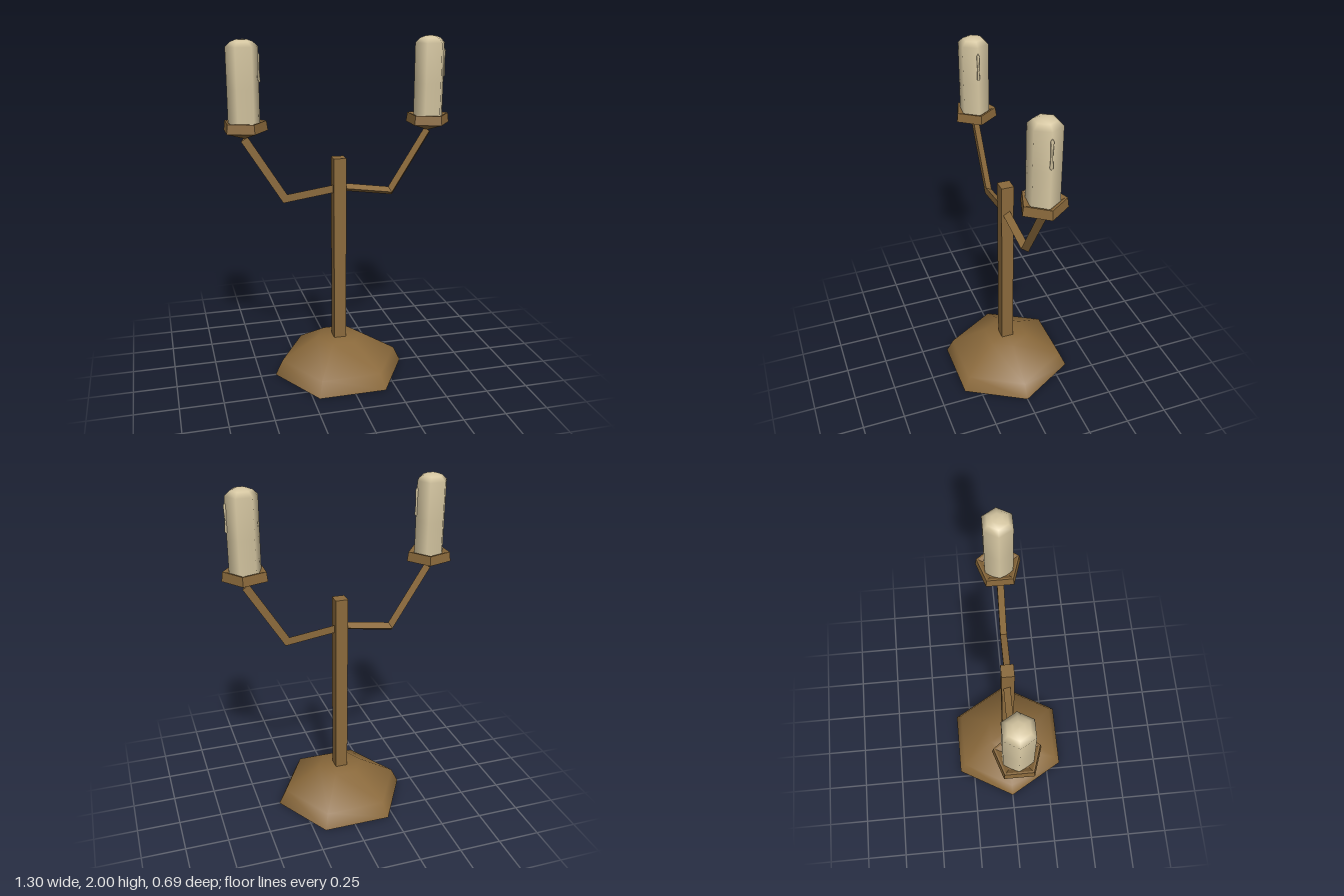
import * as THREE from 'three';

const brass = new THREE.MeshStandardMaterial({ color: 0x8a693b });
brass.name = 'aged brass';
const wax = new THREE.MeshStandardMaterial({ color: 0xd6c7a2 });
wax.name = 'cream wax';

const AXIS = -0.015; // x of the post

function mesh(name, geometry, material, x = 0, y = 0, z = 0) {
  const m = new THREE.Mesh(geometry, material);
  m.name = name;
  m.position.set(x, y, z);
  return m;
}

// Turned profile with few sides and one corner towards +x
function turned(profile, sides) {
  const points = profile.map(([r, y]) => new THREE.Vector2(r, y));
  return new THREE.LatheGeometry(points, sides, Math.PI / 2);
}

function flat(geometry) {
  const g = geometry.index ? geometry.toNonIndexed() : geometry;
  g.computeVertexNormals();
  return g;
}

// Triangular bar swept along a bent path in the xy plane, mitred at the bend
function armGeometry() {
  const path = [[0, 1.155], [0.315, 1.11], [0.535, 1.463]].map(([x, y]) => new THREE.Vector2(x, y));
  const dirs = [0, 1].map(i => path[i + 1].clone().sub(path[i]).normalize());
  const r = 0.026;
  const positions = [];
  path.forEach((p, i) => {
    const a = dirs[Math.max(i - 1, 0)], b = dirs[Math.min(i, 1)];
    const t = a.clone().add(b).normalize();
    const stretch = 1 / t.dot(a);
    for (let k = 0; k < 3; k++) {
      const angle = k * Math.PI * 2 / 3;
      const s = Math.sin(angle) * r * stretch;
      positions.push(p.x - t.y * s, p.y + t.x * s, Math.cos(angle) * r);
    }
  });
  const index = [];
  for (let i = 0; i < 2; i++) {
    for (let k = 0; k < 3; k++) {
      const a = i * 3 + k, b = i * 3 + (k + 1) % 3;
      index.push(a, a + 3, b, b, a + 3, b + 3);
    }
  }
  index.push(0, 1, 2, 6, 8, 7);
  const g = new THREE.BufferGeometry();
  g.setAttribute('position', new THREE.Float32BufferAttribute(positions, 3));
  g.setIndex(index);
  // Point the faces outwards whichever way the section winds
  const test = flat(g);
  const n = test.attributes.normal, p = test.attributes.position;
  if (n.getZ(0) * (p.getZ(0) + p.getZ(1) + p.getZ(2)) < 0) {
    for (let i = 0; i < index.length; i += 3) [index[i], index[i + 1]] = [index[i + 1], index[i]];
    g.setIndex(index);
  }
  return flat(g);
}

export function createModel() {
  const model = new THREE.Group();
  model.name = 'candelabra';

  // Domed six-sided foot
  const base = new THREE.Group();
  base.name = 'base';
  base.position.x = AXIS;
  base.add(mesh('baseDome', turned([[0.396, 0], [0.352, 0.09], [0.135, 0.22], [0, 0.221]], 6), brass));
  const underside = mesh('baseUnderside', new THREE.CircleGeometry(0.396, 6), brass);
  underside.rotation.x = Math.PI / 2;
  base.add(underside);
  model.add(base);

  // Square post
  model.add(mesh('post', new THREE.BoxGeometry(0.073, 1.13, 0.073), brass, AXIS, 0.765));

  const armShape = armGeometry();
  const cupShape = flat(turned([[0, 1.465], [0.13, 1.507], [0.123, 1.56], [0.112, 1.56], [0.085, 1.545], [0, 1.545]], 5));
  const candleShape = turned([[0.088, 1.545], [0.088, 1.74], [0.088, 1.962], [0.06, 1.988], [0.03, 1.999], [0, 2]], 6);
  const dripShape = turned([[0, 1.765], [0.009, 1.775], [0.006, 1.84], [0.009, 1.915], [0, 1.932]], 6);

  // Each side: bent arm, five-sided cup, candle with a wax drip
  for (const side of [1, -1]) {
    const word = side > 0 ? 'left' : 'right';
    const arm = mesh(word + 'Arm', armShape, brass, AXIS);
    if (side < 0) arm.rotation.y = Math.PI;
    model.add(arm);

    const x = AXIS + side * 0.531;
    model.add(mesh(word + 'Cup', cupShape, brass, x));
    model.add(mesh(word + 'Candle', candleShape, wax, x));
    model.add(mesh(word + 'Drip', dripShape, wax, x + 0.087));
  }
  return model;
}
